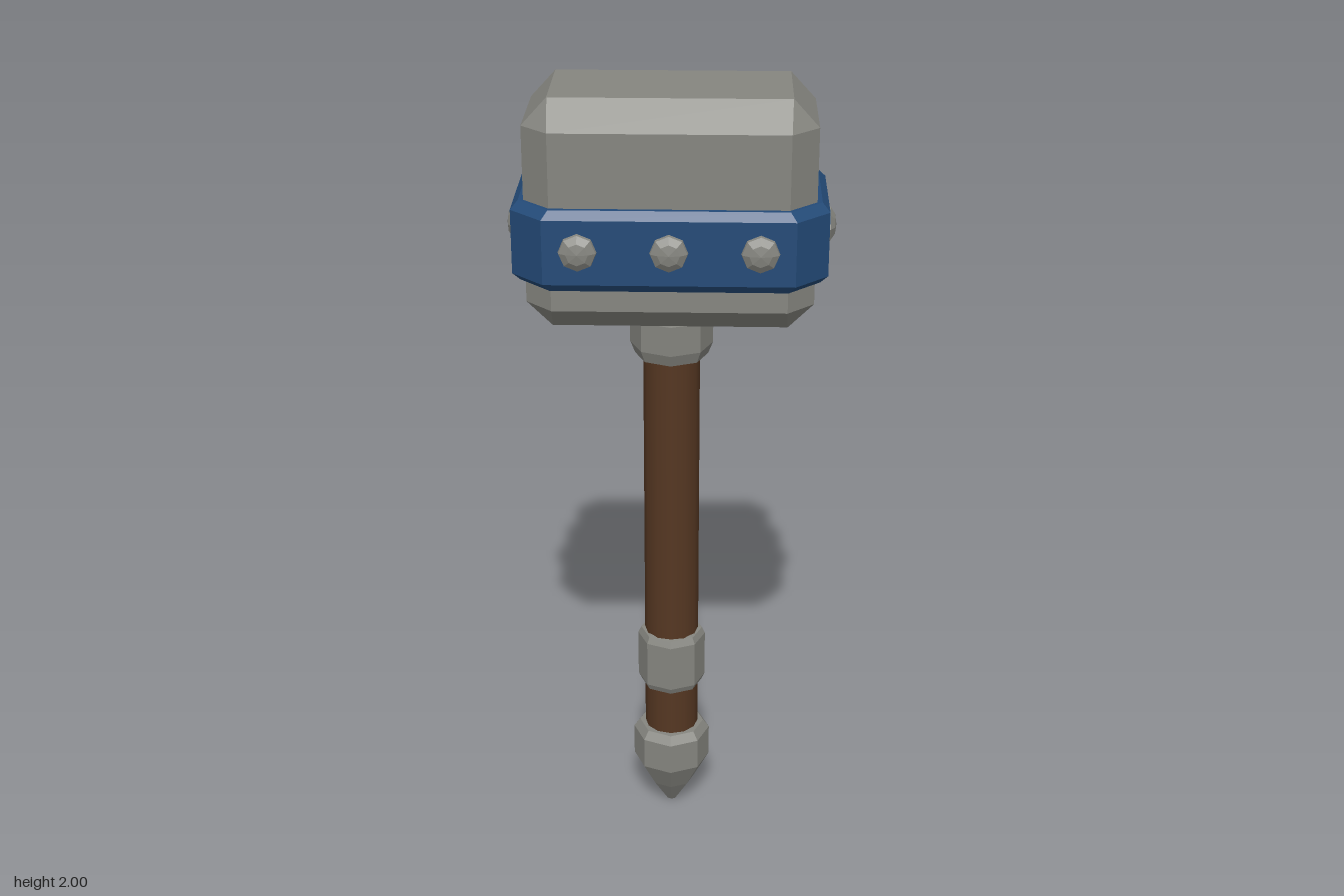
import * as THREE from 'three';

const stone = new THREE.MeshStandardMaterial({ color: 0x85857f, flatShading: true });
stone.name = 'stone grey';
const blue = new THREE.MeshStandardMaterial({ color: 0x234a77, flatShading: true });
blue.name = 'band blue';
const wood = new THREE.MeshStandardMaterial({ color: 0x553722 });
wood.name = 'wood brown';

// Stacks corner-cut rectangles [y, halfX, halfZ, cut] into a closed solid
function loft(sections) {
  const pos = [], index = [], n = 8;
  for (const [y, x, z, c] of sections) {
    const ring = [[x, z - c], [x - c, z], [c - x, z], [-x, z - c],
      [-x, c - z], [c - x, -z], [x - c, -z], [x, c - z]];
    for (const [px, pz] of ring) pos.push(px, y, pz);
  }
  const last = (sections.length - 1) * n;
  for (let s = 0; s < last; s += n) {
    for (let i = 0; i < n; i++) {
      const a = s + i, b = s + (i + 1) % n;
      index.push(a, a + n, b, b, a + n, b + n);
    }
  }
  for (let i = 1; i < n - 1; i++) {
    index.push(0, i, i + 1);
    index.push(last, last + i + 1, last + i);
  }
  const g = new THREE.BufferGeometry();
  g.setAttribute('position', new THREE.Float32BufferAttribute(pos, 3));
  g.setIndex(index);
  const flat = g.toNonIndexed();
  flat.computeVertexNormals();
  return flat;
}

// Turned part from [radius, y] points, bottom to top
function turned(points, sides) {
  return new THREE.LatheGeometry(points.map(([r, y]) => new THREE.Vector2(r, y)), sides);
}

export function createModel() {
  const model = new THREE.Group();
  model.name = 'warHammer';
  const add = (name, geometry, material) => {
    const mesh = new THREE.Mesh(geometry, material);
    mesh.name = name;
    model.add(mesh);
    return mesh;
  };

  // Bevelled head block
  add('head', loft([
    [1.45, 0.28, 0.127, 0.001],
    [1.51, 0.34, 0.193, 0.064],
    [1.935, 0.34, 0.193, 0.064],
    [2.0, 0.28, 0.127, 0.001],
  ]), stone);

  // Band wrapped around the head
  add('headBand', loft([
    [1.565, 0.352, 0.205, 0.075],
    [1.585, 0.37, 0.221, 0.078],
    [1.74, 0.37, 0.221, 0.078],
    [1.76, 0.352, 0.205, 0.075],
  ]), blue);

  // Domed studs: three on each long side, one on each end
  const studGeometry = turned([[0.046, -0.005], [0.043, 0.01], [0.026, 0.021], [0, 0.025]], 8);
  studGeometry.rotateX(Math.PI / 2);
  const addStud = (x, z, turn) => {
    const stud = add('stud', studGeometry, stone);
    stud.position.set(x, 1.665, z);
    stud.rotation.y = turn;
  };
  for (const side of [1, -1]) {
    for (const x of [-0.21, 0, 0.21]) addStud(x, side * 0.22, side > 0 ? 0 : Math.PI);
    addStud(side * 0.368, 0, side * Math.PI / 2);
  }

  // Handle and its metal fittings
  const handle = add('handle', new THREE.CylinderGeometry(0.07, 0.07, 1.14, 12), wood);
  handle.position.y = 0.79;
  add('collar', turned([[0.066, 1.33], [0.09, 1.33], [0.102, 1.36], [0.102, 1.435], [0.095, 1.455]], 8), stone);
  add('gripRing', turned([[0.066, 0.385], [0.08, 0.388], [0.088, 0.405], [0.088, 0.53], [0.08, 0.547], [0.066, 0.55]], 8), stone);
  add('pommel', turned([[0, 0], [0.014, 0.004], [0.06, 0.075], [0.101, 0.15], [0.101, 0.235], [0.085, 0.257], [0, 0.26]], 8), stone);

  return model;
}
